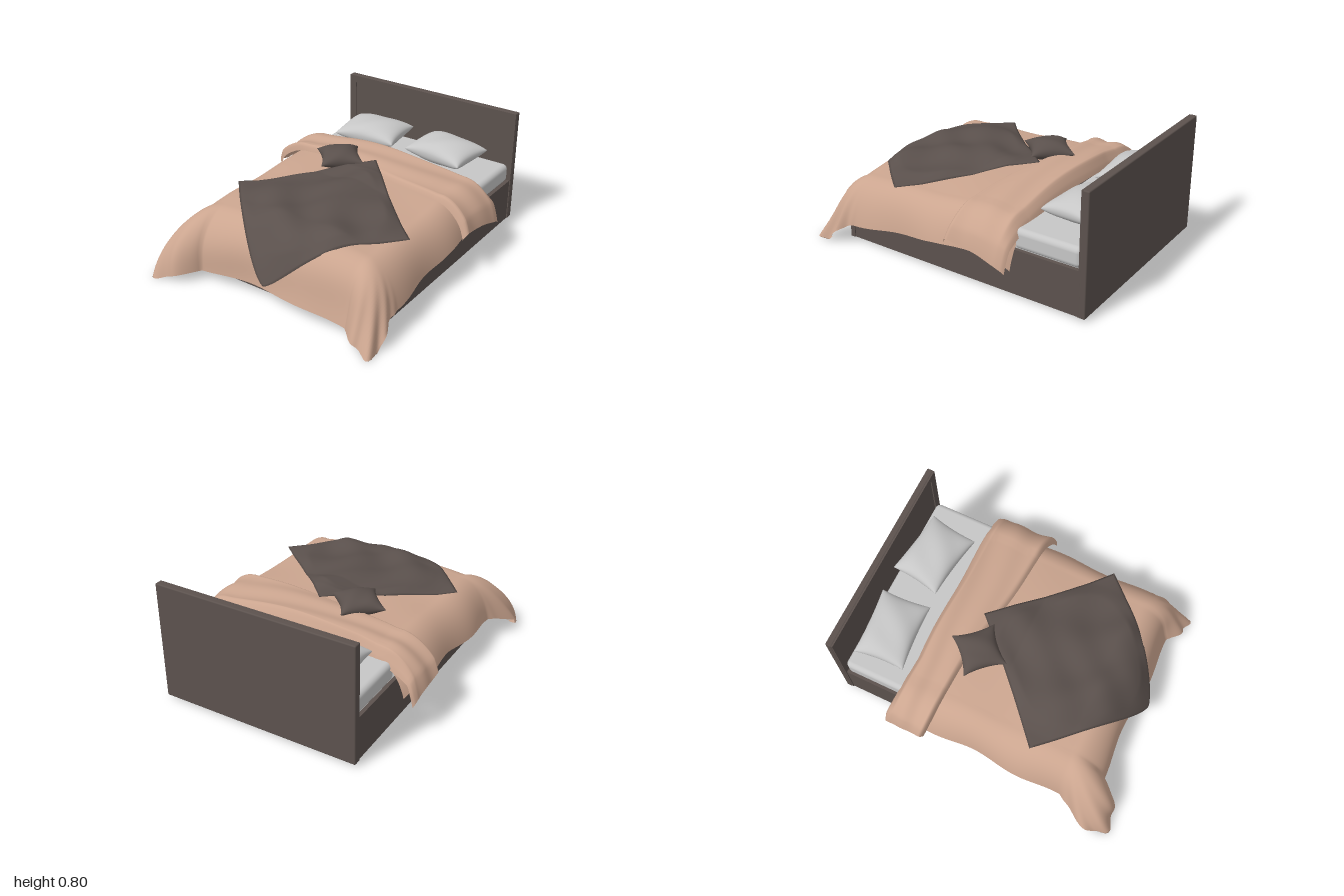
import * as THREE from 'three';
import { mergeGeometries, mergeVertices } from 'three/addons/utils/BufferGeometryUtils.js';
import { RoundedBoxGeometry } from 'three/addons/geometries/RoundedBoxGeometry.js';

const { sin, exp, hypot, max, min, abs, sign, pow } = Math;
const clamp = (v, a = 0, b = 1) => min(b, max(a, v));

// Grid surface: fn(u, v) with u, v in 0..1 returns [x, y, z]; u runs to +x, v to +z
function sheet(nu, nv, fn) {
  const g = new THREE.PlaneGeometry(1, 1, nu, nv);
  const p = g.attributes.position;
  for (let i = 0; i < p.count; i++) p.setXYZ(i, ...fn(p.getX(i) + 0.5, 0.5 - p.getY(i)));
  g.computeVertexNormals();
  return g;
}

// Closed soft body made of an upper and a lower sheet; fn(u, v, side)
function closedSheet(n, fn) {
  const g = mergeGeometries([
    sheet(n, n, (u, v) => fn(u, v, 1)),
    sheet(n, n, (u, v) => fn(1 - u, v, -1)),
  ]);
  g.deleteAttribute('uv');
  g.deleteAttribute('normal');
  const m = mergeVertices(g, 1e-5);
  m.computeVertexNormals();
  return m;
}

// Height of the bedding on top of the mattress: a soft crown with shallow wrinkles
const topY = (x, z) => 0.49 - 0.03 * z - 0.12 * x * x
  + 0.004 * sin(5 * x + 9 * z) + 0.003 * sin(13 * z - 4 * x);

// Lays the flat cloth point (s, t) over the bed, hanging past the sides and the foot
const EDGE_X = 0.54, EDGE_Z = 0.6;
function drape(s, t, lift = 0, flare = 0) {
  const ds = max(0, abs(s) - EDGE_X), dt = max(0, t - EDGE_Z), d = hypot(ds, dt);
  const dx = d ? ds / d : 0, dz = d ? dt / d : 0;
  const lobe = 3 * dx * dz * dz;
  const curl = max(0, d - 0.56);
  let out = (0.24 + 0.02 * dz * dz + (s < 0 ? 0.025 * dx : 0)) * (1 - exp(-d / 0.2));
  out += lobe * d * (s < 0 ? 0.36 : 0.17) + flare * clamp(d / 0.2);
  out += 0.035 * d * sin(11 * t + 2 * s) + 0.03 * d * dz * sin(9 * s);
  out += 0.16 * d * d * dx * dz * sin(13 * (dx - dz) + 9 * d) - 1.3 * curl;
  const cx = clamp(s, -EDGE_X, EDGE_X), cz = min(t, EDGE_Z);
  const hang = d - curl;
  const fall = hang * hang / (hang + 0.13 + 0.03 * dx);
  const y = topY(cx, cz) - fall + lift + 0.3 * curl;
  return [
    0.03 + cx + sign(s) * dx * (out + lift * 0.6),
    max(0.003, y),
    cz + dz * (out + lift * 0.6),
  ];
}

// Cushion with pinched corners and a full middle
function cushionGeometry(w, depth, h, pinch, softness) {
  return closedSheet(28, (a, b, side) => {
    const u = sin((a - 0.5) * Math.PI), v = sin((b - 0.5) * Math.PI);
    const full = pow(max(0, (1 - u * u) * (1 - v * v)), softness);
    return [
      u * w / 2 * (1 - pinch * (1 - v * v) * u * u),
      side * h * full * (1 + 0.05 * sin(5 * u + 3 * v)),
      v * depth / 2 * (1 - pinch * (1 - u * u) * v * v),
    ];
  });
}

// Rectangular frame with an opening, for the panelled boards
function boardFrame(w, h, depth, border) {
  const rect = (c, a, b) => c.moveTo(-a, -b).lineTo(a, -b).lineTo(a, b).lineTo(-a, b).closePath();
  const shape = rect(new THREE.Shape(), w / 2, h / 2);
  shape.holes.push(rect(new THREE.Path(), w / 2 - border, h / 2 - border));
  return new THREE.ExtrudeGeometry(shape, { depth, bevelEnabled: false });
}

export function createModel() {
  const bed = new THREE.Group();
  bed.name = 'bed';
  const material = (name, color, side = THREE.FrontSide) => {
    const m = new THREE.MeshStandardMaterial({ color, side });
    m.name = name;
    return m;
  };
  const wood = material('dark wood', 0x5c524e);
  const charcoal = material('charcoal fabric', 0x5a504c);
  const linen = material('pale grey linen', 0xc6c6c6);
  const peach = material('peach duvet', 0xcba58f, THREE.DoubleSide);

  const add = (name, geometry, mat, x = 0, y = 0, z = 0) => {
    const mesh = new THREE.Mesh(geometry, mat);
    mesh.name = name;
    mesh.position.set(x, y, z);
    bed.add(mesh);
    return mesh;
  };
  const cx = 0.035;

  // Headboard and footboard: a back plate with a raised border around a sunken panel
  add('headboard', new RoundedBoxGeometry(1.335, 0.78, 0.042, 3, 0.008), wood, cx, 0.41, -0.979);
  add('headboardBorder', boardFrame(1.33, 0.775, 0.014, 0.05), wood, cx, 0.41, -0.964);
  add('footboard', new THREE.BoxGeometry(1.33, 0.29, 0.02), wood, cx, 0.165, 0.705);
  add('footboardBorder', boardFrame(1.33, 0.29, 0.014, 0.05), wood, cx, 0.165, 0.714);

  // Side rails
  for (const s of [-1, 1]) {
    add(s < 0 ? 'rightRail' : 'leftRail', new THREE.BoxGeometry(0.025, 0.29, 1.66), wood,
      cx + s * 0.646, 0.165, -0.125);
  }

  // Mattress end showing at the head
  add('mattress', new RoundedBoxGeometry(1.29, 0.13, 0.44, 4, 0.035), linen, cx, 0.37, -0.73);

  // Duvet spread over the bed
  add('duvet', sheet(120, 120, (a, b) => {
    const t = -0.53 + b * 1.6;
    const w = 0.87 + 0.1 * clamp(t, 0, 0.6);
    return drape((a * 2 - 1) * w, t, -0.05 * clamp((-0.48 - t) / 0.05));
  }), peach);

  // Turned-back band of the duvet with a rolled head edge
  add('duvetFold', sheet(90, 40, (a, b) => {
    const s = (a * 2 - 1) * (0.88 - 0.05 * b);
    const head = -0.545 - 0.05 * clamp((-s - 0.4) / 0.4) + 0.006 * sin(8 * s);
    const front = -0.21 + 0.13 * s + 0.01 * sin(7 * s);
    const roll = pow(clamp(b / 0.14), 0.5) * pow(clamp((1 - b) / 0.07), 0.5);
    const lift = -0.05 * (1 - clamp(b / 0.14)) * clamp((0.75 - abs(s)) / 0.15) + 0.038 * roll
      + 0.006 * roll * sin(b * 11 + s * 4);
    const p = drape(s, head + (front - head) * b, lift, s < 0 ? 0.06 : 0.04);
    p[1] -= 0.03 * clamp((abs(s) - 0.6) / 0.3) * (1 - b);
    return p;
  }), peach);

  // Throw laid cornerwise, its head tip over the fold and its front tip hanging over the foot
  add('throw', closedSheet(70, (a, b, side) => {
    const u = a * 2 - 1, v = b * 2 - 1;
    const p = u * (1 - 0.025 * (1 - v * v)), q = v * (1 - 0.025 * (1 - u * u));
    const x = 0.043 + (p - q) * 0.325;
    const along = (p + q) / 2;
    const z = 0.345 + (along < 0 ? along * 0.625 : 0.555 * (1 - pow(1 - along, 1.45)));
    const edge = max(0, (1 - u * u) * (1 - v * v));
    const folds = 0.011 * (1 + sin(15 * x - 7 * z + 2 * sin(5 * z)))
      + 0.006 * (1 + sin(13 * x + 16 * z + sin(7 * x)));
    const y = topY(clamp(x - 0.03, -EDGE_X, EDGE_X), min(z, 0.55)) + 0.016
      - 2.4 * max(0, z - 0.55) ** 2 + 0.035 * clamp((0.02 - z) / 0.15);
    return [x, y + folds * clamp(edge * 4) + side * 0.007 * pow(edge, 0.3), z];
  }), charcoal);

  // Small dark cushion set cornerwise
  const cushion = add('cushion', cushionGeometry(0.28, 0.28, 0.065, 0.15, 0.5), charcoal,
    -0.19, 0.545, -0.2);
  cushion.rotation.y = Math.PI / 4 - 0.05;

  // Two sleeping pillows
  const pillow = cushionGeometry(0.45, 0.33, 0.08, 0.06, 0.42);
  for (const [name, x, turn] of [['rightPillow', -0.29, 0.08], ['leftPillow', 0.29, -0.14]]) {
    add(name, pillow, linen, x, 0.508, -0.765).rotation.set(0.06, turn, 0);
  }
  return bed;
}
